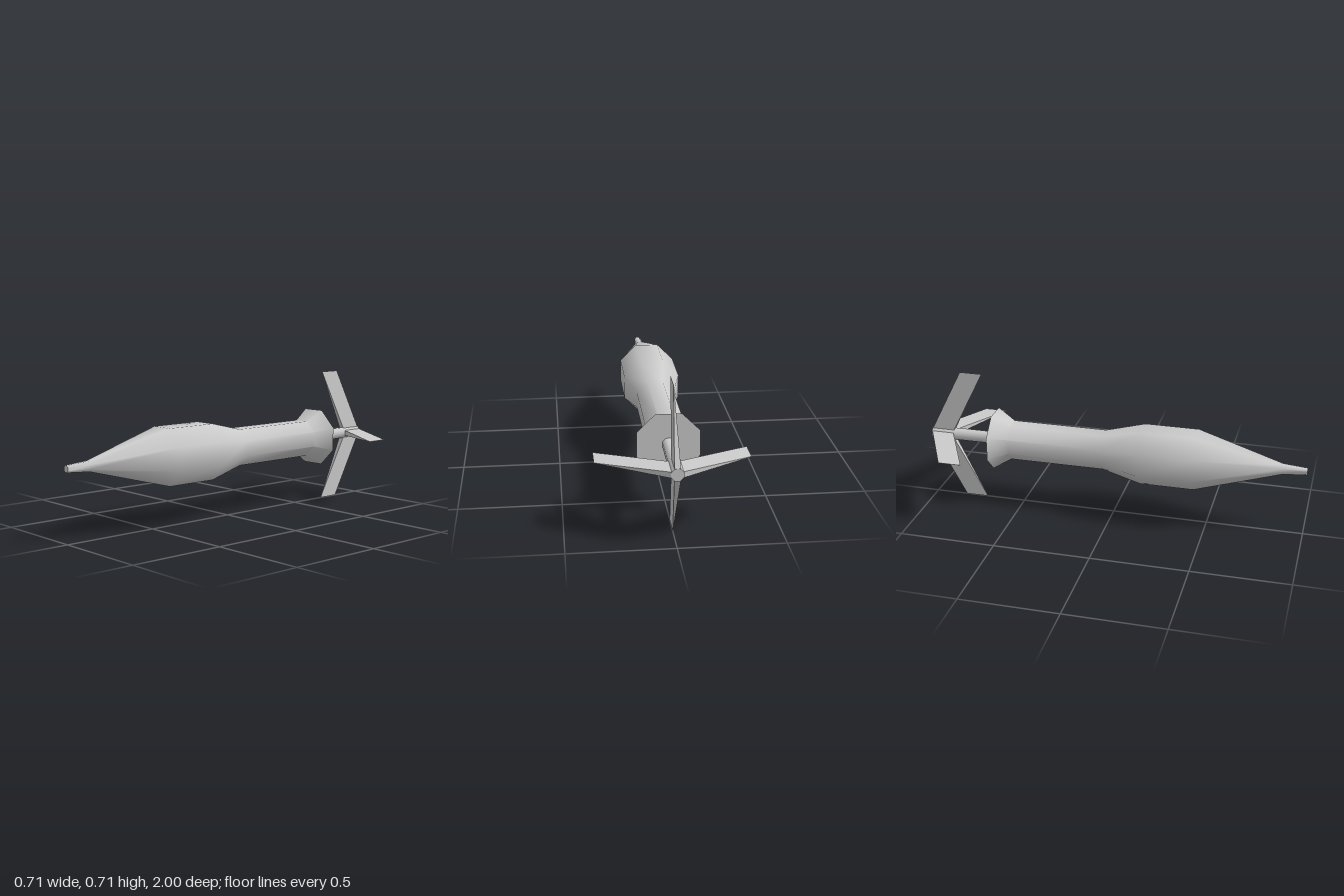
import * as THREE from 'three';
import { toCreasedNormals } from 'three/addons/utils/BufferGeometryUtils.js';

const AXIS_Y = 0.357;
const SIDES = 8;

export function createModel() {
  const group = new THREE.Group();
  const material = new THREE.MeshStandardMaterial({ color: 0xcccccc });

  const add = (name, geometry) => {
    const mesh = new THREE.Mesh(geometry, material);
    mesh.name = name;
    mesh.position.y = AXIS_Y;
    group.add(mesh);
    return mesh;
  };

  // Octagonal turned form along z; profile is [flat-side radius, z] from back to front
  const turned = (profile) => {
    const k = 1 / Math.cos(Math.PI / SIDES);
    const points = profile.map(([r, z]) => new THREE.Vector2(r * k, z));
    const geometry = new THREE.LatheGeometry(points, SIDES, Math.PI / SIDES);
    geometry.rotateX(Math.PI / 2);
    return toCreasedNormals(geometry, 0.9);
  };

  // Body: flared tail, slim barrel, swollen middle and long nose
  add('body', turned([
    [0, -0.645], [0.15, -0.645], [0.095, -0.55], [0.095, -0.05],
    [0.144, 0.155], [0.144, 0.435], [0.026, 0.875], [0.017, 1], [0, 1],
  ]));

  // Tail rod
  add('tailRod', turned([[0, -1], [0.029, -1], [0.029, -0.64], [0, -0.64]]));

  // Forward-swept fin: a box whose thickness tapers to the tip
  const fin = new THREE.BoxGeometry(1, 1, 1);
  const p = fin.attributes.position;
  for (let i = 0; i < p.count; i++) {
    const tip = p.getX(i) > 0;
    const front = p.getZ(i) > 0;
    const half = tip ? 0.0006 : 0.0145;
    p.setXYZ(
      i,
      tip ? 0.357 : 0.025,
      Math.sign(p.getY(i)) * half,
      (tip ? -0.83 : -0.998) + (front ? 0.12 : 0),
    );
  }
  fin.computeVertexNormals();

  ['leftFin', 'topFin', 'rightFin', 'bottomFin'].forEach((name, i) => {
    add(name, fin).rotation.z = (i * Math.PI) / 2;
  });

  return group;
}
